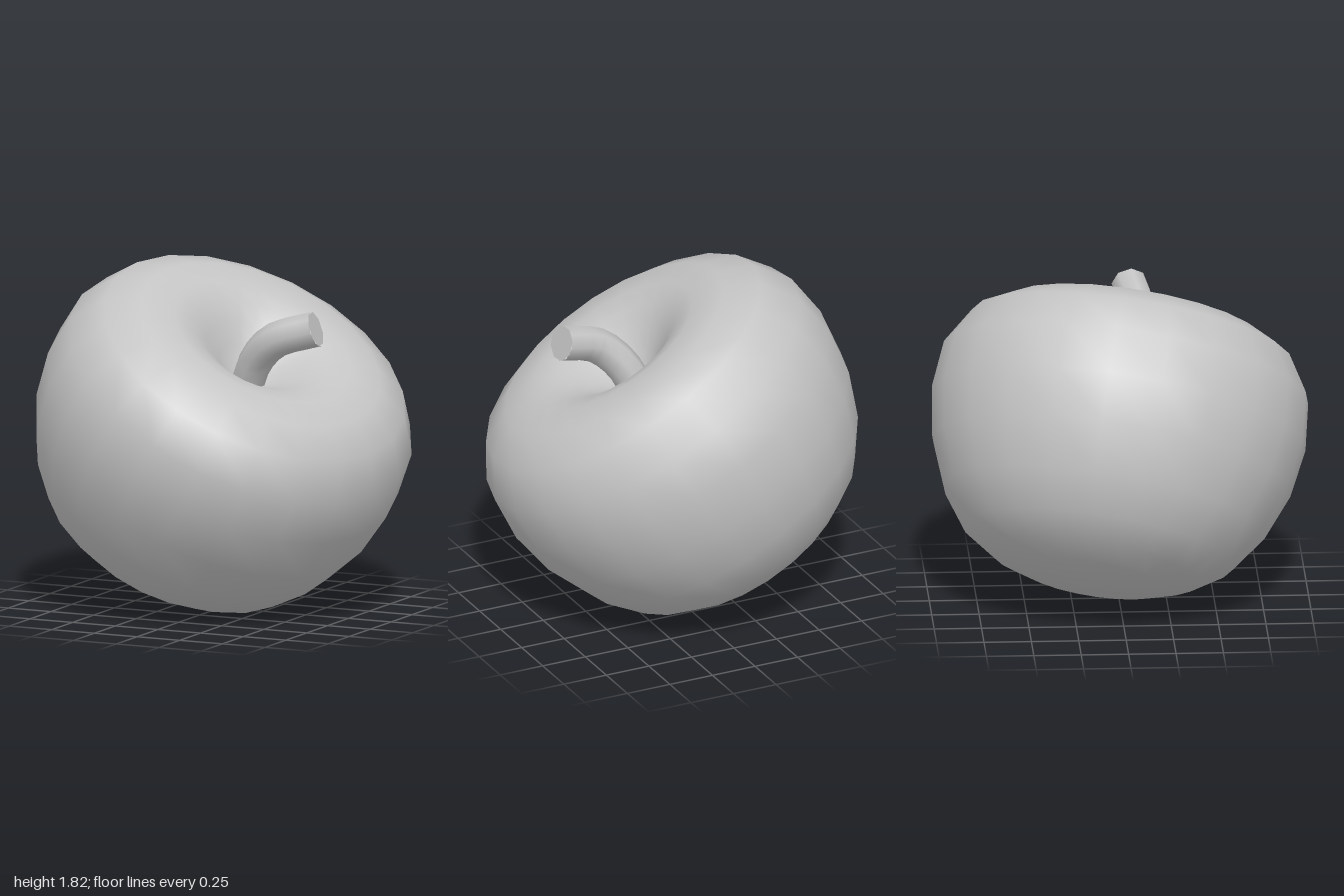
import * as THREE from 'three';

export function createModel() {
  const group = new THREE.Group();
  const gray = new THREE.MeshStandardMaterial({ color: 0xc4c4c4 });
  gray.name = 'plain gray';

  // Fruit body: lathe profile (radius, height) from the rounded bottom to the stem hollow
  const profile = [
    [0, -0.935], [0.2, -0.925], [0.38, -0.885], [0.55, -0.822], [0.72, -0.705], [0.86, -0.51],
    [0.96, -0.26], [1, 0], [0.975, 0.25], [0.855, 0.445], [0.68, 0.54],
    [0.5, 0.558], [0.38, 0.525], [0.28, 0.465], [0.18, 0.39], [0.09, 0.32], [0, 0.29],
  ].map(([r, h]) => new THREE.Vector2(r, h));
  const body = new THREE.Mesh(new THREE.LatheGeometry(profile, 22), gray);
  body.name = 'fruitBody';
  // The fruit lies tipped towards its left and slightly forward
  const axis = new THREE.Vector3(0.5, 0.845, 0.18).normalize();
  body.quaternion.setFromUnitVectors(new THREE.Vector3(0, 1, 0), axis);
  body.position.set(0.015, 0.99, 0);
  group.add(body);

  // Bent stem rising out of the hollow
  const stem = new THREE.Group();
  stem.name = 'stem';
  const path = new THREE.CatmullRomCurve3([
    new THREE.Vector3(0.17, 1.2, 0.035),
    new THREE.Vector3(0.25, 1.36, 0.08),
    new THREE.Vector3(0.38, 1.48, 0.115),
    new THREE.Vector3(0.6, 1.55, 0.085),
  ]);
  const radius = 0.095;
  const stalk = new THREE.Mesh(new THREE.TubeGeometry(path, 8, radius, 8), gray);
  stalk.name = 'stemStalk';
  stem.add(stalk);

  // Flat cut end of the stem
  const cap = new THREE.Mesh(new THREE.CircleGeometry(radius, 8), gray);
  cap.name = 'stemEnd';
  cap.position.copy(path.getPoint(1));
  cap.quaternion.setFromUnitVectors(new THREE.Vector3(0, 0, 1), path.getTangent(1));
  stem.add(cap);
  group.add(stem);

  return group;
}
